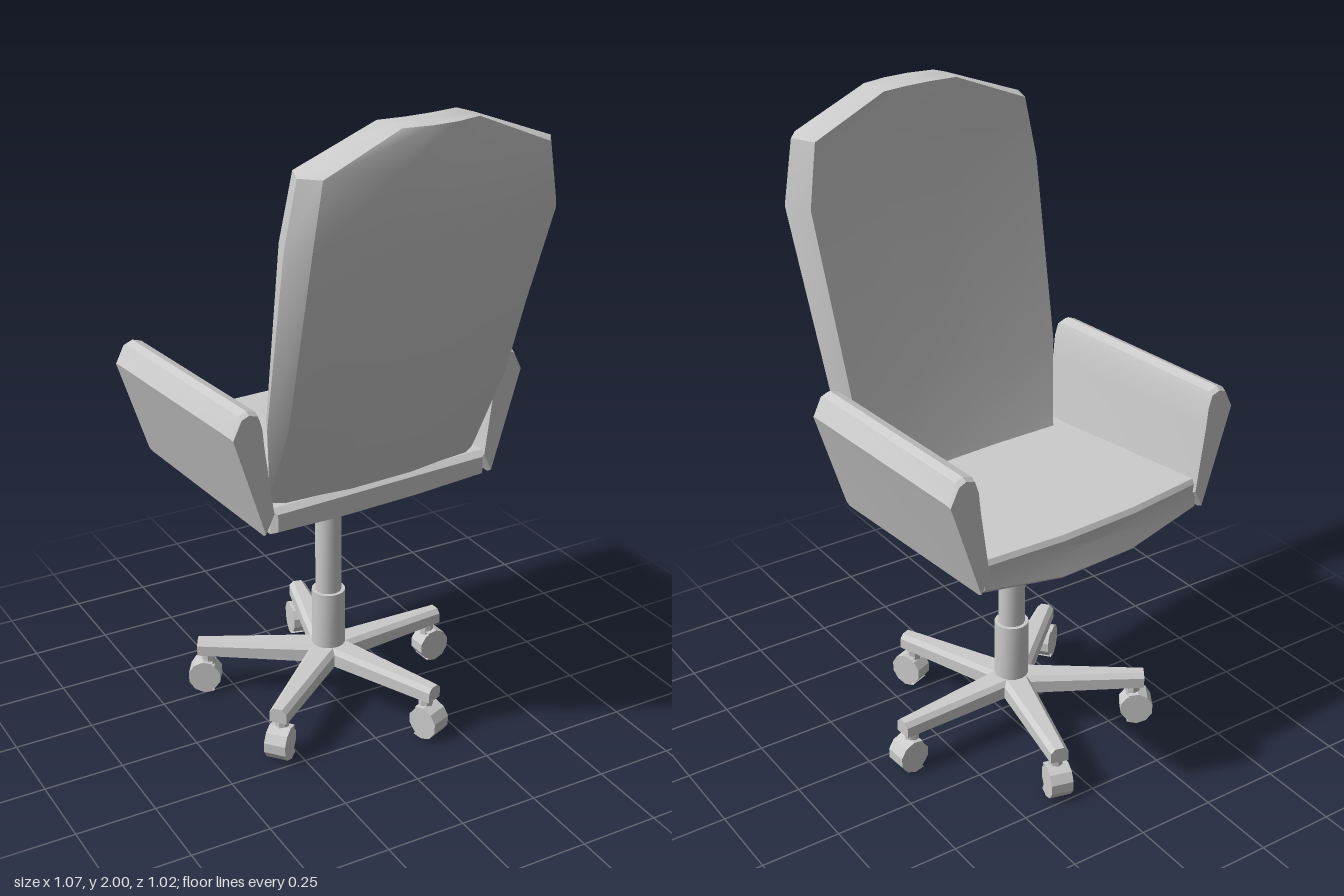
import * as THREE from 'three';
import { toCreasedNormals } from 'three/addons/utils/BufferGeometryUtils.js';

const material = new THREE.MeshStandardMaterial({ color: 0xcccccc, side: THREE.DoubleSide });

// Skin over closed cross-sections with equal point counts, capped at both ends and wound outwards
function loft(sections, crease = 0.5) {
  const tris = [];
  const n = sections[0].length;
  for (let i = 0; i < sections.length - 1; i++) {
    for (let j = 0; j < n; j++) {
      const k = (j + 1) % n;
      const a = sections[i][j], b = sections[i][k], c = sections[i + 1][k], d = sections[i + 1][j];
      tris.push([a, b, c], [a, c, d]);
    }
  }
  const cap = (s, flip) => {
    const mid = s.reduce((m, p) => m.add(p), new THREE.Vector3()).divideScalar(n);
    for (let j = 0; j < n; j++) {
      const k = (j + 1) % n;
      tris.push(flip ? [mid, s[k], s[j]] : [mid, s[j], s[k]]);
    }
  };
  cap(sections[0], true);
  cap(sections[sections.length - 1], false);
  const volume = tris.reduce((v, [a, b, c]) => v + a.dot(b.clone().cross(c)), 0);
  const points = tris.flatMap(([a, b, c]) => (volume < 0 ? [a, c, b] : [a, b, c]));
  return toCreasedNormals(new THREE.BufferGeometry().setFromPoints(points), crease);
}

function add(parent, name, geometry, x = 0, y = 0, z = 0) {
  const mesh = new THREE.Mesh(geometry, material);
  mesh.name = name;
  mesh.position.set(x, y, z);
  parent.add(mesh);
  return mesh;
}

const V = (x, y, z) => new THREE.Vector3(x, y, z);

// Backrest: horizontal sections given as height, half width, back z, front z
function backrestGeometry() {
  const rows = [
    [0.83, 0.35, 0.275, 0.19],
    [0.9, 0.365, 0.3, 0.215],
    [1.15, 0.415, 0.392, 0.275],
    [1.71, 0.447, 0.564, 0.405],
    [1.9, 0.41, 0.564, 0.42],
    [2.0, 0.14, 0.562, 0.435],
  ];
  return loft(rows.map(([y, h, back, front]) => {
    const mid = front + 0.52 * (back - front);
    const half = [
      [0.3 * h, back], [0.89 * h, back - 0.017], [h, mid],
      [0.92 * h, front], [0.3 * h, front + 0.01],
    ];
    return [
      ...half.map(([x, z]) => V(x, y, z)),
      ...half.reverse().map(([x, z]) => V(-x, y, z)),
    ];
  }));
}

// Seat: sections from front to back, with a bowed front edge and a shallow curved underside
function seatGeometry() {
  const rows = [ // z, bow, half width, top, bottom edge, bottom middle
    [-0.385, 0.025, 0.395, 0.9, 0.825, 0.785],
    [-0.375, 0.025, 0.405, 0.915, 0.815, 0.775],
    [0.2, 0, 0.385, 0.88, 0.8, 0.788],
    [0.285, 0, 0.38, 0.88, 0.8, 0.79],
    [0.305, 0, 0.365, 0.865, 0.81, 0.803],
  ];
  return loft(rows.map(([z, bow, h, top, edge, mid]) => {
    const half = [[0.13, mid, z - bow], [h, edge, z], [h, top, z], [0.13, top, z - bow]];
    return [
      ...half.map(([x, y, w]) => V(x, y, w)),
      ...half.reverse().map(([x, y, w]) => V(-x, y, w)),
    ];
  }));
}

// Armrest: leaning side panel with a faceted top roll and softened ends
function armGeometry(side) {
  const profile = [
    [0.405, 0.8], [0.5, 1.1], [0.51, 1.13], [0.48, 1.19], [0.455, 1.2],
    [0.425, 1.19], [0.412, 1.15], [0.405, 1.08], [0.375, 0.86],
  ];
  const section = (z, shift, scale, lift) => profile.map(([x, y]) =>
    V(side * (0.445 + (x - 0.445) * scale + shift), 1.02 + (y - 1.02) * scale + lift * (1.2 - y), z));
  return loft([
    section(-0.395, 0.008, 0.95, 0.03),
    section(-0.38, 0.008, 1, 0.04),
    section(0.285, -0.004, 1, 0),
    section(0.3, -0.004, 0.95, 0),
  ]);
}

// Star leg: tapered beam with chamfered top edges, running along +x
function legGeometry() {
  const section = (x, h, top) => [
    [h, 0.13], [h, top - 0.014], [h - 0.014, top],
    [-h + 0.014, top], [-h, top - 0.014], [-h, 0.13],
  ].map(([z, y]) => V(x, y, z));
  return loft([section(0, 0.05, 0.188), section(0.06, 0.045, 0.186), section(0.425, 0.028, 0.178)], 0.3);
}

function cylinder(radius, height, sides) {
  return toCreasedNormals(new THREE.CylinderGeometry(radius, radius, height, sides), 0.6);
}

export function createModel() {
  const model = new THREE.Group();
  model.name = 'officeChair';

  // Whole chair is turned slightly about its column
  const chair = new THREE.Group();
  chair.name = 'chair';
  chair.position.set(0.006, 0, -0.065);
  chair.rotation.y = 0.066;
  model.add(chair);

  // Upholstery
  add(chair, 'backrest', backrestGeometry());
  add(chair, 'seat', seatGeometry());
  add(chair, 'leftArmrest', armGeometry(1));
  add(chair, 'rightArmrest', armGeometry(-1));

  // Column
  add(chair, 'mountingPlate', new THREE.BoxGeometry(0.285, 0.035, 0.255), 0, 0.77, 0);
  add(chair, 'upperColumn', cylinder(0.042, 0.4, 16), 0, 0.565, 0);
  add(chair, 'lowerColumn', cylinder(0.054, 0.215, 16), 0, 0.27, 0);

  // Five-legged base with casters
  const leg = legGeometry();
  const stem = cylinder(0.023, 0.06, 8);
  const wheel = new THREE.CylinderGeometry(0.05, 0.05, 0.058, 10).toNonIndexed().rotateX(Math.PI / 2);
  const hood = new THREE.CylinderGeometry(0.056, 0.056, 0.07, 7, 1, false, 0, Math.PI * 1.3)
    .toNonIndexed().rotateX(Math.PI / 2).rotateZ(-0.5);
  wheel.computeVertexNormals();
  hood.computeVertexNormals();
  for (let i = 0; i < 5; i++) {
    const arm = new THREE.Group();
    arm.name = `baseLeg${i + 1}`;
    arm.rotation.y = (i * Math.PI * 2) / 5;
    chair.add(arm);
    add(arm, 'leg', leg);
    add(arm, 'casterStem', stem, 0.392, 0.11, 0);
    add(arm, 'casterWheel', wheel, 0.4, 0.05, 0);
    add(arm, 'casterHood', hood, 0.4, 0.052, 0);
  }
  return model;
}
